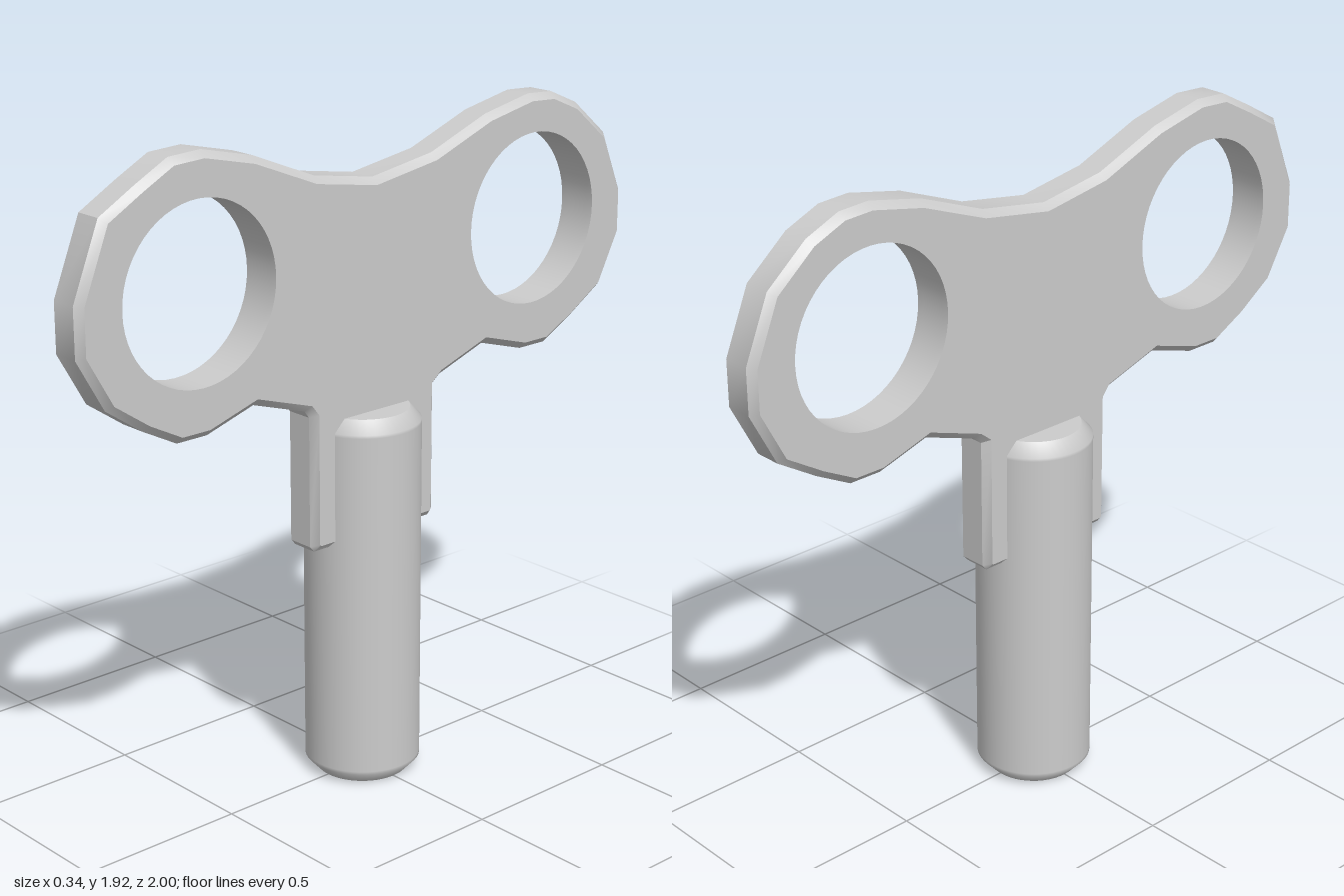
import * as THREE from 'three';
import { toCreasedNormals } from 'three/addons/utils/BufferGeometryUtils.js';

const HOLE_Z = 0.613, HOLE_Y = 1.553, HOLE_R = 0.252;

// Clockwise outline of the handle as (z, y): +z wing, two legs, -z wing
const OUTLINE = [
  [0, 1.765], [0.21, 1.80], [0.42, 1.885], [0.59, 1.925], [0.695, 1.92], [0.80, 1.865],
  [0.915, 1.80], [1, 1.59], [1, 1.45], [0.915, 1.30], [0.80, 1.22], [0.69, 1.162],
  [0.59, 1.162], [0.43, 1.21], [0.25, 1.152], [0.233, 1.13], [0.233, 0.75], [0.218, 0.733],
  [-0.218, 0.733], [-0.233, 0.75], [-0.233, 1.13], [-0.26, 1.152], [-0.43, 1.21], [-0.59, 1.162],
  [-0.69, 1.162], [-0.80, 1.22], [-0.92, 1.295], [-1, 1.45], [-1, 1.58],
  [-0.925, 1.76], [-0.80, 1.865], [-0.695, 1.91], [-0.60, 1.915], [-0.43, 1.88], [-0.22, 1.80],
];

function handleGeometry() {
  const shape = new THREE.Shape(OUTLINE.map(([z, y]) => new THREE.Vector2(z, y)));
  for (const side of [1, -1]) {
    // Wound against the outline so the bore faces inward
    shape.holes.push(new THREE.Path().absarc(side * HOLE_Z, HOLE_Y, HOLE_R, 0, Math.PI * 2, false));
  }
  const geo = new THREE.ExtrudeGeometry(shape, {
    depth: 0.08, curveSegments: 28,
    bevelEnabled: true, bevelSegments: 1, bevelSize: 0.02, bevelThickness: 0.02, bevelOffset: -0.02,
  });

  // Only the outer rim is chamfered: pull hole vertices back to a straight bore
  const pos = geo.attributes.position;
  for (let i = 0; i < pos.count; i++) {
    const cx = pos.getX(i) < 0 ? -HOLE_Z : HOLE_Z;
    const dx = pos.getX(i) - cx, dy = pos.getY(i) - HOLE_Y;
    const d = Math.hypot(dx, dy);
    if (d < 0.3) pos.setXY(i, cx + dx * HOLE_R / d, HOLE_Y + dy * HOLE_R / d);
  }
  geo.translate(0, 0, -0.04);
  geo.rotateY(-Math.PI / 2);
  return toCreasedNormals(geo, 0.6);
}

// Round shaft: chamfers blend into the wall and meet the flat ends sharply
function shaftGeometry() {
  const profile = [
    [0, 0], [0.135, 0], [0.168, 0.036], [0.168, 0.045],
    [0.168, 1.062], [0.168, 1.071], [0.135, 1.107], [0, 1.107],
  ].map(([r, y]) => new THREE.Vector2(r, y));
  return toCreasedNormals(new THREE.LatheGeometry(profile, 48), 0.78);
}

export function createModel() {
  const model = new THREE.Group();
  model.name = 'windUpKey';
  const material = new THREE.MeshStandardMaterial({ color: 0xcccccc });
  const add = (name, geometry) => {
    const mesh = new THREE.Mesh(geometry, material);
    mesh.name = name;
    model.add(mesh);
  };
  add('handle', handleGeometry());
  add('shaft', shaftGeometry());
  return model;
}
